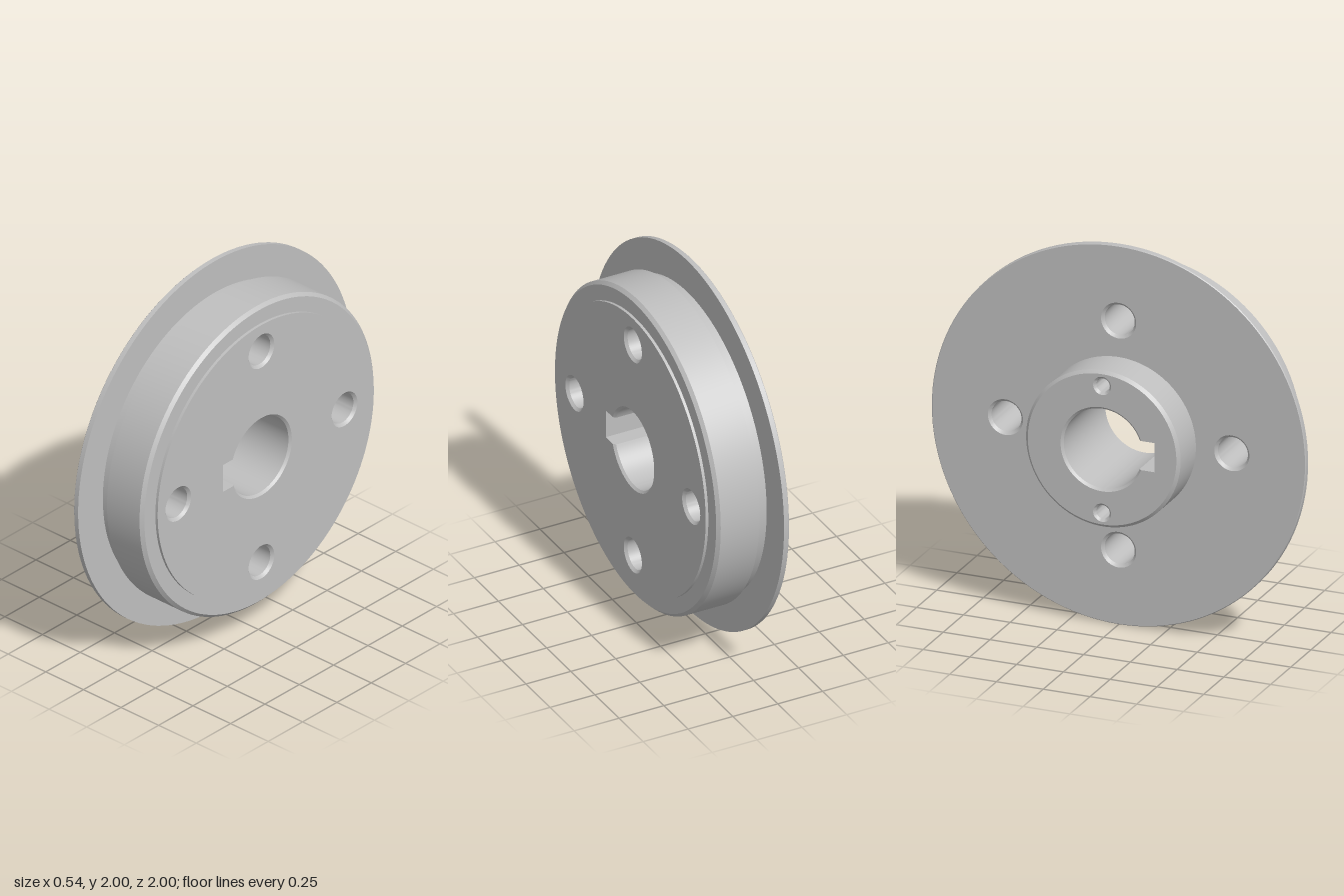
import * as THREE from 'three';
import { toCreasedNormals } from 'three/addons/utils/BufferGeometryUtils.js';

const SEG = 128;
// Positions along the axle
const BACK = -0.27, PLATE = -0.065, FRONT = 0.27;
// Bore and keyway
const BORE = 0.21, BORE_EDGE = 0.222, KEY_DEPTH = 0.28, KEY_HALF = 0.077;
// Bolt holes and blind hub holes: distance from axle, radius, chamfered radius
const BOLT = { dist: 0.605, r: 0.08, edge: 0.094 };
const PIN = { dist: 0.335, r: 0.036, edge: 0.048, depth: 0.2 };

function circle(r, cx = 0, cy = 0, n = SEG) {
  return Array.from({ length: n }, (_, i) => {
    const a = (i / n) * Math.PI * 2;
    return new THREE.Vector2(cx + r * Math.cos(a), cy + r * Math.sin(a));
  });
}

// Bore outline with a square keyway on the local -x side, counter-clockwise
function boreOutline(r) {
  const gap = Math.asin(KEY_HALF / r), n = 96, pts = [];
  for (let i = 0; i <= n; i++) {
    const a = -Math.PI + gap + (i / n) * (2 * Math.PI - 2 * gap);
    pts.push(new THREE.Vector2(r * Math.cos(a), r * Math.sin(a)));
  }
  pts.push(new THREE.Vector2(-KEY_DEPTH, KEY_HALF), new THREE.Vector2(-KEY_DEPTH, -KEY_HALF));
  return pts;
}

// Turned surface around local z, from [radius, z] pairs
function turned(profile, cx = 0, cy = 0, n = SEG) {
  const g = new THREE.LatheGeometry(profile.map(([r, z]) => new THREE.Vector2(r, z)), n);
  g.rotateX(Math.PI / 2);
  g.translate(cx, cy, 0);
  return toCreasedNormals(g, 0.5);
}

// Inward-facing wall through a stack of [outline, z] sections
function innerWall(sections) {
  const pos = [], index = [], n = sections[0][0].length;
  for (const [pts, z] of sections) for (const p of pts) pos.push(p.x, p.y, z);
  for (let s = 0; s < sections.length - 1; s++) {
    for (let i = 0; i < n; i++) {
      const a = s * n + i, b = s * n + (i + 1) % n;
      index.push(a, b + n, b, a, a + n, b + n);
    }
  }
  const g = new THREE.BufferGeometry();
  g.setAttribute('position', new THREE.Float32BufferAttribute(pos, 3));
  g.setIndex(index);
  return toCreasedNormals(g, 0.5);
}

// Flat face with cut-outs, looking along +z or -z
function flatFace(outer, holes, z, backwards) {
  const shape = new THREE.Shape(outer);
  shape.holes = holes.map((h) => new THREE.Path(h));
  const g = new THREE.ShapeGeometry(shape);
  if (backwards) g.rotateX(Math.PI);
  g.translate(0, 0, z);
  return g;
}

export function createModel() {
  const steel = new THREE.MeshStandardMaterial({ color: 0xbfbfbf });
  steel.name = 'greySteel';
  const wheel = new THREE.Group();
  wheel.name = 'flangedWheel';
  const add = (name, geometry) => {
    const mesh = new THREE.Mesh(geometry, steel);
    mesh.name = name;
    wheel.add(mesh);
  };

  const boltSpots = [0, 1, 2, 3].map((i) => {
    const a = (i * Math.PI) / 2;
    return [BOLT.dist * Math.cos(a), BOLT.dist * Math.sin(a)];
  });
  const pinSpots = [[0, PIN.dist], [0, -PIN.dist]];
  const boltCuts = boltSpots.map(([x, y]) => circle(BOLT.edge, x, y, 48));
  const pinCuts = pinSpots.map(([x, y]) => circle(PIN.edge, x, y, 32));

  // Outer turned surfaces
  add('hubSide', turned([[0.397, BACK], [0.413, BACK + 0.016], [0.413, PLATE]]));
  add('flangeRim', turned([[0.996, PLATE], [1, PLATE + 0.004], [1, -0.035], [0.82, -0.035]]));
  add('reliefNeck', turned([[0.82, -0.035], [0.82, 0.022]]));
  add('tread', turned([[0.82, 0.022], [0.852, 0.022], [0.852, 0.238], [0.835, 0.255], [0.755, 0.255]]));
  add('raisedEdge', turned([[0.755, 0.255], [0.755, FRONT]]));

  // Flat faces
  add('outerFace', flatFace(circle(0.755), [boreOutline(BORE_EDGE), ...boltCuts], FRONT, false));
  add('flangeBack', flatFace(circle(0.996), [circle(0.413), ...boltCuts], PLATE, true));
  add('hubFace', flatFace(circle(0.397), [boreOutline(BORE_EDGE), ...pinCuts], BACK, true));

  // Keyed bore with chamfered ends
  const c = BORE_EDGE - BORE;
  add('keyedBore', innerWall([
    [boreOutline(BORE_EDGE), BACK], [boreOutline(BORE), BACK + c],
    [boreOutline(BORE), FRONT - c], [boreOutline(BORE_EDGE), FRONT],
  ]));

  // Through holes, chamfered at both ends
  const e = BOLT.edge - BOLT.r;
  for (const [x, y] of boltSpots) {
    add('boltHole', turned([
      [BOLT.edge, FRONT], [BOLT.r, FRONT - e], [BOLT.r, PLATE + e], [BOLT.edge, PLATE],
    ], x, y, 48));
  }

  // Blind holes in the hub face
  const k = PIN.edge - PIN.r, floor = BACK + PIN.depth;
  for (const [x, y] of pinSpots) {
    add('hubHole', turned([
      [0, floor + 0.02], [PIN.r, floor], [PIN.r, BACK + k], [PIN.edge, BACK],
    ], x, y, 32));
  }

  // Lay the axle along x and stand the wheel on the ground
  wheel.rotation.y = Math.PI / 2;
  wheel.position.y = 1;
  const model = new THREE.Group();
  model.name = 'wheelModel';
  model.add(wheel);
  return model;
}
